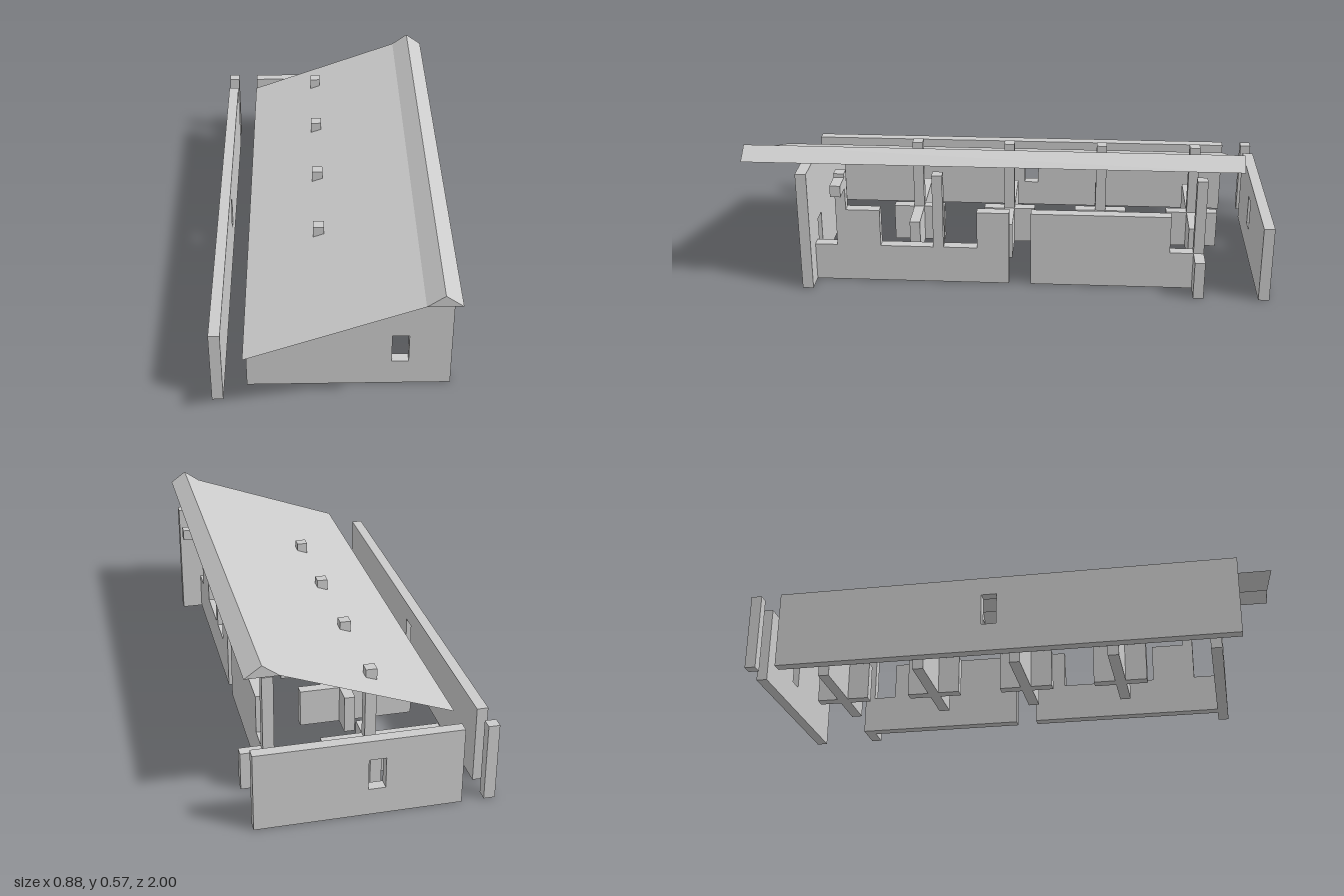
import * as THREE from 'three';

const T = 1 / 24; // wall thickness
const mat = new THREE.MeshStandardMaterial({ color: 0xcccccc, flatShading: true });
const thin = new THREE.MeshStandardMaterial({ color: 0xcccccc, flatShading: true, side: THREE.DoubleSide });

export function createModel() {
  const model = new THREE.Group();

  const add = (name, geometry, material = mat, parent = model) => {
    const mesh = new THREE.Mesh(geometry, material);
    mesh.name = name;
    parent.add(mesh);
    return mesh;
  };

  // Box given by its limits on each axis
  const block = (name, x0, x1, y0, y1, z0, z1, parent) => {
    const mesh = add(name, new THREE.BoxGeometry(x1 - x0, y1 - y0, z1 - z0), mat, parent);
    mesh.position.set((x0 + x1) / 2, (y0 + y1) / 2, (z0 + z1) / 2);
    return mesh;
  };

  // Upright wall from an outline, with an optional window [u0, u1, v0, v1]
  const wall = (name, outline, window) => {
    const shape = new THREE.Shape(outline.map(([u, v]) => new THREE.Vector2(u, v)));
    if (window) {
      const [u0, u1, v0, v1] = window;
      shape.holes.push(new THREE.Path([[u0, v0], [u0, v1], [u1, v1], [u1, v0]].map(([u, v]) => new THREE.Vector2(u, v))));
    }
    return add(name, new THREE.ExtrudeGeometry(shape, { depth: T, bevelEnabled: false }));
  };

  // Open sheet through four corners
  const sheet = (name, corners, parent) => {
    const g = new THREE.BufferGeometry();
    g.setAttribute('position', new THREE.Float32BufferAttribute(corners.flat(), 3));
    g.setIndex(corners.length === 4 ? [0, 1, 2, 0, 2, 3] : [0, 1, 2]);
    g.computeVertexNormals();
    return add(name, g, thin, parent);
  };

  // Stepped front wall rising under the roof
  const steps = [[-0.3125, 0], [0.4375, 0], [0.4375, 0.48]];
  for (let i = 0; i < 4; i++) {
    const x = 0.1875 - i * 0.125, y = 0.48 - i * 0.045;
    steps.push([x, y], [x, y - 0.045]);
  }
  steps.push([-0.3125, 0.3]);
  wall('frontWall', steps, [0.219, 0.281, 0.105, 0.225]).position.z = 0.757;

  // Back wall and the free corner post
  wall('backWall', [[-0.3125, 0], [0.4375, 0], [0.4375, 0.3], [-0.3125, 0.3]], [-0.031, 0.031, 0.105, 0.225]).position.z = -1;
  block('cornerPost', -0.4375, -0.4375 + T, 0, 0.3, -1, -1 + T);

  // Long outer wall, drawn along z
  const longWall = wall('longWall', [[-0.875, 0], [0.88, 0], [0.88, 0.3], [-0.875, 0.3]], [0.025, 0.083, 0.108, 0.23]);
  longWall.rotation.y = Math.PI / 2;
  longWall.position.x = -0.4375;

  // Wall under the ridge: sills, full-height parts and a doorway gap
  const X0 = 0.3125, X1 = X0 + T;
  const inner = new THREE.Group();
  inner.name = 'ridgeWall';
  model.add(inner);
  const ridgeWall = wall('ridgeWallFront', [
    [-0.757, 0], [0, 0], [0, 0.3], [-0.125, 0.3], [-0.125, 0.15], [-0.255, 0.15],
    [-0.255, 0.45], [-0.295, 0.45], [-0.295, 0.15], [-0.5, 0.15], [-0.5, 0.3],
    [-0.63, 0.3], [-0.63, 0.45], [-0.67, 0.45], [-0.67, 0.15], [-0.757, 0.15],
  ]);
  ridgeWall.rotation.y = Math.PI / 2;
  ridgeWall.position.x = X0;
  inner.add(ridgeWall);
  block('ridgeWallMiddle', X0, X1, 0, 0.3, -0.62, -0.083, inner);
  block('ridgeWallSill', X0, X1, 0, 0.15, -0.71, -0.62, inner);
  block('ridgePost', X0, X1, 0, 0.45, -0.75, -0.71, inner);
  block('sideSill', X1, 0.4375, 0, 0.15, -0.75, -0.71, inner);
  block('bracket', X1, 0.4375, 0.39, 0.435, 0.63, 0.67, inner);

  // Four room dividers: a low cross of walls around a post through the roof
  for (let i = 0; i < 4; i++) {
    const z = 0.396 - i * 0.375, h = T / 2;
    const divider = new THREE.Group();
    divider.name = 'divider';
    model.add(divider);
    block('roofPost', -0.0625, -0.0625 + T, 0, 0.435, z - h, z + h, divider);
    block('dividerInner', -0.0625 + T, 0.135, 0, 0.15, z - h, z + h, divider);
    block('dividerOuter', -0.3125, -0.0625, 0, 0.15, z - h, z + h, divider);
    block('crossWallFront', -0.0625, -0.0625 + T, 0, 0.15, z + h, z + 0.104, divider);
    block('crossWallBack', -0.0625, -0.0625 + T, 0, 0.15, z - 0.104, z - h, divider);
  }

  // Sloping roof sheet and the open ridge cap with its triangular ribs
  const F = 1, B = -0.875;
  sheet('roof', [[-0.3125, 0.3, F], [0.3125, 0.525, F], [0.3125, 0.525, B], [-0.3125, 0.3, B]]);
  const cap = new THREE.Group();
  cap.name = 'ridgeCap';
  model.add(cap);
  sheet('capInner', [[0.3125, 0.525, F], [0.375, 0.57, F], [0.375, 0.57, B], [0.3125, 0.525, B]], cap);
  sheet('capOuter', [[0.375, 0.57, F], [0.4375, 0.525, F], [0.4375, 0.525, B], [0.375, 0.57, B]], cap);
  for (let i = 0; i <= 15; i++) {
    const z = F - i * 0.125;
    sheet('capRib', [[0.3125, 0.525, z], [0.4375, 0.525, z], [0.375, 0.57, z]], cap);
  }
  return model;
}
